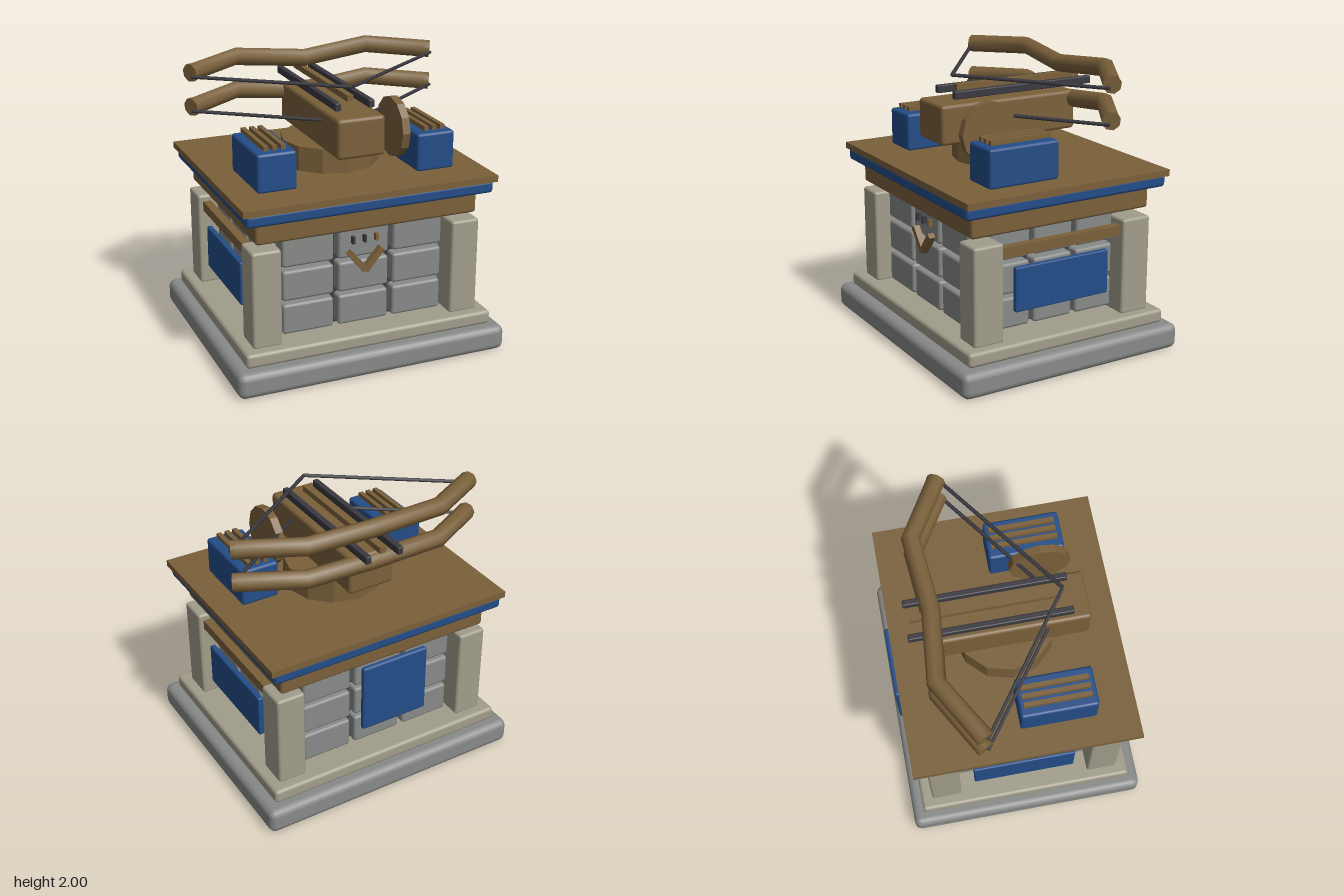
import * as THREE from 'three';
import { RoundedBoxGeometry } from 'three/addons/geometries/RoundedBoxGeometry.js';

const material = (name, color) => {
  const m = new THREE.MeshStandardMaterial({ color });
  m.name = name;
  return m;
};

export function createModel() {
  const model = new THREE.Group();
  model.name = 'ballistaTower';
  const stone = material('grey stone', 0x878a88);
  const trim = material('pale stone', 0xa19d8b);
  const wood = material('brown wood', 0x7a603a);
  const blue = material('blue paint', 0x234d88);
  const iron = material('dark iron', 0x393940);

  const add = (name, geometry, mat) => {
    const mesh = new THREE.Mesh(geometry, mat);
    mesh.name = name;
    model.add(mesh);
    return mesh;
  };

  // Box from its min and max on each axis, with bevelled edges if r > 0
  const box = (name, mat, [x0, x1], [y0, y1], [z0, z1], r = 0) => {
    const size = [x1 - x0, y1 - y0, z1 - z0];
    const geometry = r ? new RoundedBoxGeometry(...size, 2, r) : new THREE.BoxGeometry(...size);
    const mesh = add(name, geometry, mat);
    mesh.position.set((x0 + x1) / 2, (y0 + y1) / 2, (z0 + z1) / 2);
    return mesh;
  };
  const mid = (c, w) => [c - w / 2, c + w / 2];
  const side = (s, a, b) => (s > 0 ? [a, b] : [-b, -a]);

  // Straight round bar between two points
  const rod = (name, mat, a, b, r, sides) => {
    const dir = b.clone().sub(a);
    const mesh = add(name, new THREE.CylinderGeometry(r, r, dir.length(), sides), mat);
    mesh.position.copy(a).add(b).multiplyScalar(0.5);
    mesh.quaternion.setFromUnitVectors(new THREE.Vector3(0, 1, 0), dir.normalize());
    return mesh;
  };

  // Stepped foundation
  box('foundation', stone, [-0.98, 0.98], [0, 0.18], [-0.85, 0.85], 0.05);
  box('plinth', trim, [-0.9, 0.9], [0.18, 0.28], [-0.77, 0.77], 0.025);

  // Dark core faced with stone blocks on all four sides
  box('wallCore', iron, [-0.58, 0.58], [0.27, 1.015], [-0.51, 0.51]);
  for (let row = 0; row < 3; row++) {
    const y = mid(0.402 + row * 0.242, 0.215);
    for (let col = -1; col <= 1; col++) {
      for (const s of [-1, 1]) {
        box('faceBlock', stone, mid(col * 0.4, 0.365), y, side(s, 0.48, 0.6), 0.02);
        box('sideBlock', stone, side(s, 0.54, 0.68), y, mid(col * 0.335, 0.3), 0.02);
      }
    }
  }

  // Corner posts
  for (const sx of [-1, 1])
    for (const sz of [-1, 1])
      box('cornerPost', trim, side(sx, 0.62, 0.825), [0.27, 0.955], side(sz, 0.47, 0.69), 0.02);

  // Side beams and shields, back banner
  for (const s of [-1, 1]) {
    box('sideBeam', wood, side(s, 0.73, 0.79), [0.84, 0.91], [-0.47, 0.47]);
    box('sidePanel', blue, side(s, 0.76, 0.8), [0.45, 0.76], [-0.365, 0.365], 0.01);
  }
  box('backBanner', blue, [-0.25, 0.25], [0.58, 1.08], [-0.815, -0.775], 0.015);

  // Chevron and pegs on the front wall
  for (const s of [-1, 1]) {
    const arm = box('chevronArm', wood, mid(s * 0.058, 0.04), mid(0.757, 0.19), [0.595, 0.645]);
    arm.rotation.z = -s * 0.69;
  }
  [-0.085, 0, 0.085].forEach((x, i) =>
    box('peg', i === 2 ? wood : iron, mid(x, 0.02), [0.885, 0.935], [0.59, 0.63]));

  // Platform layers
  box('platformBeam', wood, [-0.795, 0.795], [1.005, 1.18], [-0.69, 0.69], 0.02);
  box('platformBand', blue, [-0.88, 0.88], [1.16, 1.25], [-0.77, 0.77], 0.025);
  box('deck', wood, [-0.905, 0.905], [1.24, 1.285], [-0.78, 0.78]);

  // Turntable and carriage
  const drumGeometry = new THREE.CylinderGeometry(0.343, 0.343, 0.175, 12).toNonIndexed();
  drumGeometry.computeVertexNormals();
  add('turntable', drumGeometry, wood).position.y = 1.37;
  box('carriage', wood, [-0.17, 0.17], [1.455, 1.73], [-0.5, 0.555], 0.025);

  // Rails and bolt
  for (const s of [-1, 1])
    box('rail', iron, mid(s * 0.12, 0.042), [1.755, 1.81], [-0.65, 0.44], 0.008);
  box('bolt', wood, mid(0, 0.045), [1.79, 1.832], [-0.625, 0.36]);

  // Winding wheel on the left of the carriage
  const wheelGeometry = new THREE.CylinderGeometry(0.21, 0.21, 0.055, 12).toNonIndexed();
  wheelGeometry.computeVertexNormals();
  const wheel = add('windingWheel', wheelGeometry, wood);
  wheel.rotation.z = Math.PI / 2;
  wheel.position.set(0.345, 1.565, 0.305);

  // Two stacked bows with their strings
  for (const y of [1.9, 1.66]) {
    const points = [[-0.905, 0.018, -0.285], [-0.5, 0.04, -0.522], [0, -0.005, -0.475],
      [0.5, 0.04, -0.522], [0.905, 0.018, -0.285]].map(([px, py, pz]) => new THREE.Vector3(px, y + py, pz));
    // Zero tension keeps the limbs straight between the bends
    const path = new THREE.CatmullRomCurve3(points, false, 'catmullrom', 0);
    path.getPointAt = (t, target) => path.getPoint(t, target);
    path.getTangentAt = (t, target = new THREE.Vector3()) => {
      const i = Math.round(t * 4);
      const step = (a, b) => points[b].clone().sub(points[a]).normalize();
      target.set(0, 0, 0);
      if (i > 0) target.add(step(i - 1, i));
      if (i < 4) target.add(step(i, i + 1));
      return target.normalize();
    };
    add('bow', new THREE.TubeGeometry(path, 4, 0.063, 8), wood);
    for (const [tip, next] of [[points[0], points[1]], [points[4], points[3]]]) {
      const inward = next.clone().sub(tip).normalize();
      rod('bowTip', wood, tip, tip.clone().addScaledVector(inward, 0.03), 0.063, 8);
      const nock = new THREE.Vector3(0, y - 0.005, 0.385);
      rod('bowString', iron, new THREE.Vector3(Math.sign(tip.x) * 0.905, y - 0.005, -0.27), nock, 0.013, 6);
    }
  }

  // Ammunition crates with slatted lids
  for (const s of [-1, 1]) {
    box('crate', blue, side(s, 0.435, 0.71), [1.28, 1.548], [-0.02, 0.505], 0.02);
    for (const x of [0.515, 0.575, 0.635])
      box('crateSlat', wood, mid(s * x, 0.032), [1.555, 1.587], [0.01, 0.465]);
  }

  return model;
}
